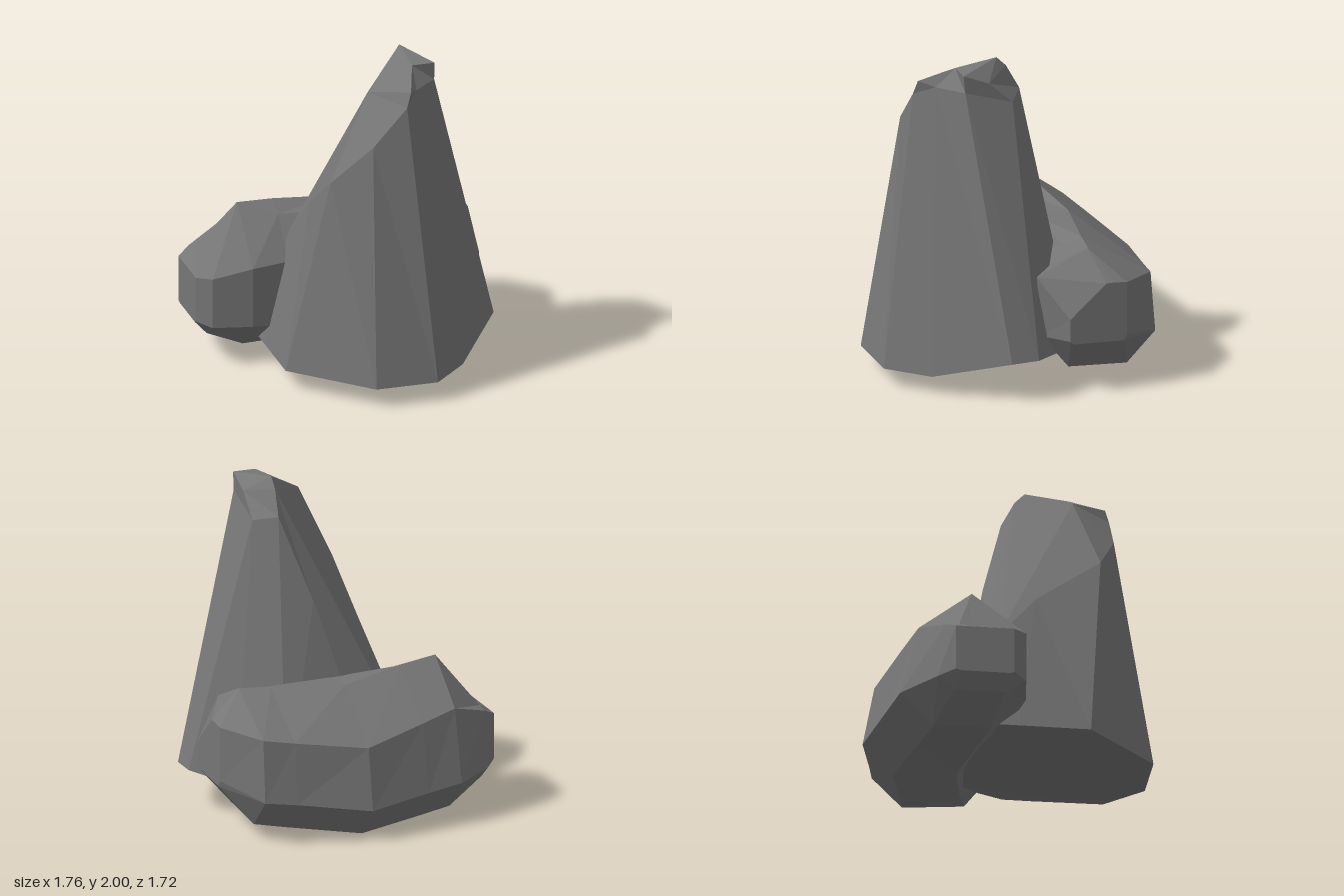
import * as THREE from 'three';

// Joins rings of [x, y, z] corners into a closed faceted body
function loft(rings) {
  const n = rings[0].length;
  const index = [];
  for (let i = 0; i < rings.length - 1; i++) {
    for (let j = 0; j < n; j++) {
      const a = i * n + j, b = i * n + (j + 1) % n;
      const c = b + n, d = a + n;
      index.push(a, d, c, a, c, b);
    }
  }
  // End caps
  const last = (rings.length - 1) * n;
  for (let k = 1; k < n - 1; k++) {
    index.push(0, k, k + 1, last, last + k + 1, last + k);
  }
  const geometry = new THREE.BufferGeometry();
  geometry.setAttribute('position', new THREE.Float32BufferAttribute(rings.flat(2), 3));
  geometry.setIndex(index);
  const flat = geometry.toNonIndexed();
  flat.computeVertexNormals();
  return flat;
}

export function createModel() {
  const group = new THREE.Group();
  const stone = new THREE.MeshStandardMaterial({ color: 0x767676, flatShading: true });

  // Tall pointed rock, from the peak down to the base;
  // each ring runs from the left of the front face around by +x to the back
  const peak = [0.31, 2, 0.14];
  const shoulder = [0.04, 1.83, 0.39];
  const crest = [0.31, 1.97, 0.4];
  const nape = [0.31, 1.94, 0.08];
  const sideRim = [[0.3, 1.86, 0.52], [0.45, 1.86, 0.39], [0.45, 1.76, 0.09], [0.32, 1.79, 0]];
  const frontFoot = [[-0.48, 0.12, 0.43], [-0.05, 0.12, 0.86], [0.33, 0.12, 0.86], [0.55, 0.12, 0.64]];
  const backFoot = [[0.4, 0.12, -0.33], [-0.2, 0.12, -0.36], [-0.48, 0.12, -0.25], [-0.48, 0.12, 0]];
  const tallRock = new THREE.Mesh(loft([
    Array(11).fill(peak),
    // tip, with a small notch on the +x side
    [shoulder, shoulder, crest, crest, [0.45, 1.97, 0.4], [0.45, 1.9, 0.24],
      nape, nape, nape, shoulder, shoulder],
    // brow
    [shoulder, shoulder, [0.24, 1.89, 0.61], ...sideRim, nape, nape, shoulder, shoulder],
    // shoulders
    [[-0.23, 1.33, 0.52], [0, 1.57, 0.63], [0.21, 1.8, 0.63], ...sideRim,
      [0.15, 1.29, -0.13], [-0.2, 0.83, -0.18], [-0.3, 0.78, -0.1], [-0.24, 1.06, 0.13]],
    // foot, raised on the +x side
    [...frontFoot, [0.86, 0.26, 0.25], [0.86, 0.26, 0.08], [0.64, 0.2, -0.14], ...backFoot],
    // flat underside
    [...frontFoot, [0.52, 0.12, 0.35], [0.48, 0.12, 0.1], [0.44, 0.12, -0.1], ...backFoot],
  ]), stone);
  tallRock.name = 'tallRock';
  group.add(tallRock);

  // Low curved rock: each ring of [y, z] runs top front, top ridge, top back, back,
  // bottom back, bottom front, lower front, upper front
  const lowRock = new THREE.Mesh(loft([
    [-0.88, [[0.56, -0.3], [0.56, -0.36], [0.56, -0.43], [0.28, -0.43], [0.27, -0.4], [0.27, -0.1], [0.28, -0.08], [0.56, -0.08]]],
    [-0.8, [[0.6, -0.34], [0.61, -0.4], [0.6, -0.48], [0.26, -0.53], [0.18, -0.43], [0.18, -0.12], [0.26, 0], [0.57, 0]]],
    [-0.56, [[0.92, -0.29], [0.92, -0.295], [0.68, -0.61], [0.25, -0.72], [0.05, -0.52], [0.06, -0.18], [0.25, 0.03], [0.62, 0.03]]],
    [-0.33, [[0.85, -0.21], [0.9, -0.335], [0.635, -0.68], [0.23, -0.77], [0.03, -0.58], [0.05, -0.22], [0.22, -0.02], [0.62, -0.02]]],
    [0.06, [[0.83, -0.21], [0.84, -0.41], [0.56, -0.79], [0.19, -0.86], [0, -0.68], [0.04, -0.3], [0.24, -0.12], [0.65, -0.12]]],
    [0.5, [[0.82, -0.21], [0.855, -0.325], [0.62, -0.72], [0.25, -0.76], [0.06, -0.58], [0.09, -0.22], [0.31, -0.1], [0.7, -0.12]]],
    [0.69, [[0.86, -0.29], [0.86, -0.295], [0.65, -0.69], [0.27, -0.72], [0.09, -0.54], [0.12, -0.17], [0.34, 0], [0.72, 0.03]]],
    [0.88, [[0.7, -0.34], [0.7, -0.39], [0.69, -0.47], [0.36, -0.47], [0.32, -0.45], [0.34, -0.13], [0.36, -0.11], [0.5, -0.11]]],
  ].map(([x, ring]) => ring.map(([y, z]) => [x, y, z]))), stone);
  lowRock.name = 'lowRock';
  group.add(lowRock);

  return group;
}
